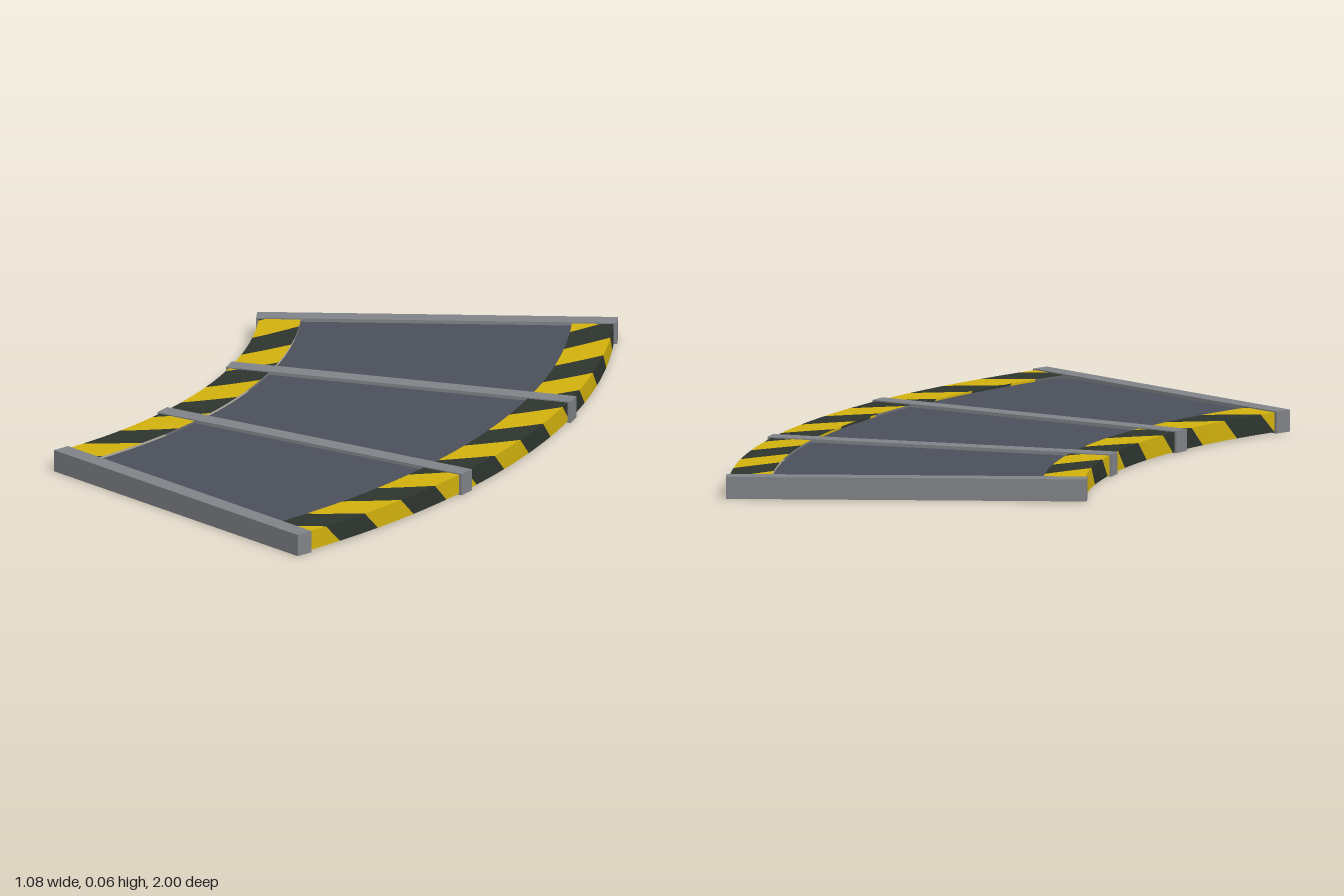
import * as THREE from 'three';
import { mergeGeometries } from 'three/addons/utils/BufferGeometryUtils.js';

const CX = -2.008;                 // x of the curve's centre
const HALF = Math.PI / 8;          // half of the 45 degree sweep
const R_IN = 1.605, R_OUT = 2.546; // outer faces of the two rims
const RIM = 0.111;                 // rim width seen from above
const TOP = 0.056, BOTTOM = 0.003;
const STRIPE = 0.148;

function material(name, color, side = THREE.FrontSide) {
  const m = new THREE.MeshStandardMaterial({ color, side });
  m.name = name;
  return m;
}

// Point on the curve at radius r, height y and angle a
const polar = (r, y, a) => [CX + r * Math.cos(a), y, r * Math.sin(a)];

// Grid surface from point(u, v), with u and v in 0..1
function grid(nu, nv, point, flip) {
  const pos = [], index = [];
  for (let j = 0; j <= nv; j++)
    for (let i = 0; i <= nu; i++) pos.push(...point(i / nu, j / nv));
  for (let j = 0; j < nv; j++)
    for (let i = 0; i < nu; i++) {
      const a = j * (nu + 1) + i, b = a + 1, c = a + nu + 1, d = c + 1;
      index.push(...(flip ? [a, c, b, b, c, d] : [a, b, c, b, d, c]));
    }
  const g = new THREE.BufferGeometry();
  g.setAttribute('position', new THREE.Float32BufferAttribute(pos, 3));
  g.setIndex(index);
  g.computeVertexNormals();
  return g;
}

// Striped rim: a top plate folding down into a side wall.
// dir is +1 for the outer rim and -1 for the inner one.
function makeRim(name, dir, radius, refRadius, shift, colours) {
  const group = new THREE.Group();
  group.name = name;
  const height = TOP - BOTTOM;
  const parts = [[], []];
  const clamp = (a) => THREE.MathUtils.clamp(a, -HALF, HALF);
  for (let k = -10; k <= 10; k++) {
    // stripe edges run diagonally across the plate and on down the wall
    const angle = (u, w) => clamp(((k + u) * STRIPE + shift - dir * w) / refRadius);
    const addFace = (w0, w1, toPoint) => {
      const w = (v) => w0 + (w1 - w0) * v;
      const visible = [w0, w1].some((e) => angle(1, e) - angle(0, e) > 1e-4);
      if (!visible) return;
      parts[Math.abs(k) % 2].push(grid(6, 12, (u, v) => toPoint(w(v), angle(u, w(v))), dir < 0));
    };
    addFace(0, RIM, (w, a) => polar(radius + dir * (w - RIM), TOP, a));
    addFace(RIM, RIM + height, (w, a) => polar(radius, TOP - (w - RIM), a));
  }
  parts.forEach((list, i) => {
    const mesh = new THREE.Mesh(mergeGeometries(list), colours[i]);
    mesh.name = name + (i ? 'DarkStripes' : 'YellowStripes');
    group.add(mesh);
  });
  return group;
}

export function createModel() {
  const yellow = material('warning yellow', 0xd2b20e, THREE.DoubleSide);
  const dark = material('stripe black', 0x2e352f, THREE.DoubleSide);
  const deck = material('deck grey', 0x4c505a, THREE.DoubleSide);
  const metal = material('bar grey', 0x808387);

  const model = new THREE.Group();
  model.name = 'curvedTrackSection';

  // Slightly sunken curved deck
  const r0 = R_IN + RIM, r1 = R_OUT - RIM;
  const panel = new THREE.Mesh(
    grid(48, 1, (u, v) => polar(r0 + (r1 - r0) * v, TOP - 0.006, (2 * u - 1) * HALF), false), deck);
  panel.name = 'deckPanel';
  model.add(panel);

  // Striped rims
  model.add(makeRim('outerRim', 1, R_OUT, R_OUT, RIM + (TOP - BOTTOM) / 2, [yellow, dark]));
  model.add(makeRim('innerRim', -1, R_IN, R_IN + RIM / 2, -STRIPE / 2 - RIM / 2, [yellow, dark]));

  // Four radial cross bars
  const barIn = 1.598, barOut = 2.555;
  const barGeometry = new THREE.BoxGeometry(barOut - barIn, 0.059, 0.05);
  for (let i = 0; i < 4; i++) {
    const a = HALF * (-1 + (2 * i) / 3);
    const bar = new THREE.Mesh(barGeometry, metal);
    bar.name = 'crossBar' + (i + 1);
    bar.position.set(...polar((barIn + barOut) / 2, 0.0295, a));
    bar.rotation.y = -a;
    model.add(bar);
  }
  return model;
}
